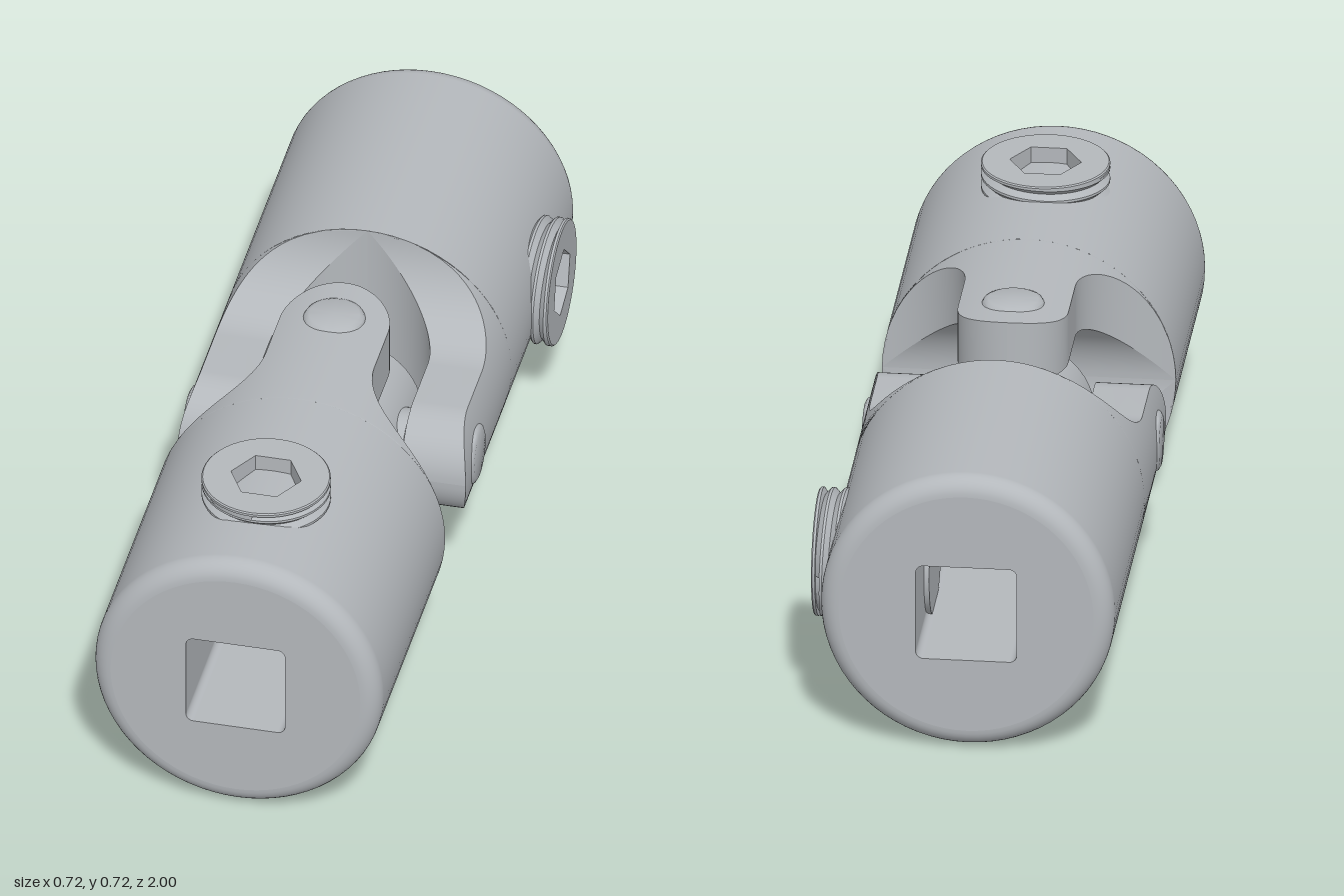
import * as THREE from 'three';
import { toCreasedNormals } from 'three/addons/utils/BufferGeometryUtils.js';

const R = 0.34;          // body radius
const NECK = 0.128;      // half width of a prong
const SLOT = 0.187;      // half height of the fork slot
const ROOT = 0.335;      // where the fork meets the body

const steel = new THREE.MeshStandardMaterial({ color: 0xb4b8bc });
steel.name = 'steel grey';

function part(name, geometry) {
  const mesh = new THREE.Mesh(geometry, steel);
  mesh.name = name;
  return mesh;
}

function lathe(points, segments = 64) {
  return new THREE.LatheGeometry(points.map(([x, y]) => new THREE.Vector2(x, y)), segments);
}

// Surface patch from a function of row and column
function patch(rows, cols, point, flip) {
  const pos = [], index = [];
  for (let i = 0; i <= rows; i++) for (let j = 0; j <= cols; j++) pos.push(...point(i, j / cols));
  for (let i = 0; i < rows; i++) for (let j = 0; j < cols; j++) {
    const a = i * (cols + 1) + j, b = a + 1, c = a + cols + 1, d = c + 1;
    if (flip) index.push(a, c, b, b, c, d);
    else index.push(a, b, c, b, d, c);
  }
  const g = new THREE.BufferGeometry();
  g.setAttribute('position', new THREE.Float32BufferAttribute(pos, 3));
  g.setIndex(index);
  g.computeVertexNormals();
  return g;
}

// One prong: cylinder skin, cut by the slot below and by the waisted sides
function makeProng() {
  const sections = [];
  for (let i = 0; i <= 20; i++) {
    const t = (1 - i / 20) * Math.PI / 2, c = i === 0 ? 0 : Math.cos(t);
    sections.push({ z: 0.145 + (ROOT - 0.145) * Math.sin(t), w: R - (R - NECK) * c, s: SLOT * c });
  }
  for (let i = 0; i <= 14; i++) {
    const t = i / 14 * Math.PI / 2;
    sections.push({ z: -NECK * Math.sin(t), w: NECK * Math.cos(t), s: SLOT });
  }
  const n = sections.length - 1;
  const prong = new THREE.Group();
  prong.name = 'prong';
  prong.add(part('prongOuterFace', patch(n, 32, (i, v) => {
    const { z, w } = sections[i], a = Math.asin(Math.min(1, w / R)) * (2 * v - 1);
    return [R * Math.sin(a), R * Math.cos(a), z];
  }, false)));
  prong.add(part('prongInnerFace', patch(n, 2, (i, v) => {
    const { z, w, s } = sections[i];
    return [w * (2 * v - 1), s, z];
  }, true)));
  for (const side of [-1, 1]) {
    prong.add(part('prongSide', patch(n, 2, (i, v) => {
      const { z, w, s } = sections[i], h = Math.sqrt(Math.max(0, R * R - w * w));
      return [side * w, s + (h - s) * v, z];
    }, side > 0)));
  }
  return prong;
}

// Rounded square outline for the bore
function roundedSquare(h, r) {
  const p = new THREE.Path();
  [[1, 1], [-1, 1], [-1, -1], [1, -1]].forEach(([x, y], k) => {
    p.absarc(x * (h - r), y * (h - r), r, k * Math.PI / 2, (k + 1) * Math.PI / 2, false);
  });
  p.closePath();
  return p;
}

function disc(radius, hole) {
  const s = new THREE.Shape();
  s.absarc(0, 0, radius, 0, Math.PI * 2, false);
  s.holes.push(hole);
  return s;
}

// Threaded set screw along y with a hexagon socket
function makeSetScrew(turn) {
  const screw = new THREE.Group();
  screw.name = 'setScrew';
  const pitch = 0.03, top = 0.368, profile = [];
  for (let y = 0.22; y < 0.385; y += pitch) {
    profile.push([0.136, y], [0.149, y + pitch * 0.4], [0.149, y + pitch * 0.6]);
  }
  const thread = lathe(profile, 48);
  const p = thread.attributes.position, rows = profile.length;
  for (let i = 0; i < p.count; i++) {
    const turnPart = Math.floor(i / rows) / 48;
    p.setY(i, Math.min(top, p.getY(i) - pitch * turnPart));
  }
  screw.add(part('screwThread', toCreasedNormals(thread, 0.5)));
  screw.add(part('screwRim', toCreasedNormals(
    lathe([[0.136, top], [0.149, top], [0.149, 0.374], [0.146, 0.377], [0.13, 0.377]], 48), 0.5)));

  const hex = new THREE.Path();
  hex.setFromPoints(Array.from({ length: 7 }, (_, k) => {
    const a = turn + k * Math.PI / 3;
    return new THREE.Vector2(0.083 * Math.cos(a), 0.083 * Math.sin(a));
  }));
  const socket = new THREE.ExtrudeGeometry(disc(0.135, hex), { depth: 0.127, bevelEnabled: false, curveSegments: 48 });
  socket.rotateX(-Math.PI / 2).translate(0, 0.25, 0);
  screw.add(part('screwSocket', socket));

  const shank = new THREE.CylinderGeometry(0.134, 0.134, 0.145, 48);
  shank.translate(0, 0.1775, 0);
  screw.add(part('screwShank', shank));
  screw.position.z = 0.69;
  return screw;
}

function makeYoke(name, socketTurn) {
  const yoke = new THREE.Group();
  yoke.name = name;

  // Barrel with a rounded outer rim
  const fillet = 0.045, profile = [[R, ROOT], [R, 0.6]];
  for (let i = 0; i <= 8; i++) {
    const a = i / 8 * Math.PI / 2;
    profile.push([R - fillet + fillet * Math.cos(a), 1 - fillet + fillet * Math.sin(a)]);
  }
  yoke.add(part('barrel', lathe(profile, 72).rotateX(Math.PI / 2)));

  // End face with the square bore
  const bore = new THREE.ExtrudeGeometry(disc(R - fillet, roundedSquare(0.117, 0.018)),
    { depth: 0.55, bevelEnabled: false, curveSegments: 36 });
  yoke.add(part('boredEnd', bore.translate(0, 0, 0.45)));
  const floor = new THREE.CircleGeometry(0.2, 32);
  yoke.add(part('boreFloor', floor.translate(0, 0, 0.451)));

  // Two prongs
  for (const angle of [0, Math.PI]) {
    const prong = makeProng();
    prong.rotation.z = angle;
    yoke.add(prong);
  }

  // Pivot pin through the prongs, with collars beside the centre block
  const half = [[0.085, 0.15], [0.085, 0.178], [0.072, 0.19], [0.072, 0.332], [0.068, 0.339], [0.058, 0.344], [0, 0.345]];
  const pin = [...half.map(([x, y]) => [x, -y]).reverse(), ...half];
  yoke.add(part('pivotPin', toCreasedNormals(lathe(pin, 40), 0.7)));

  yoke.add(makeSetScrew(socketTurn));
  return yoke;
}

export function createModel() {
  const model = new THREE.Group();
  model.name = 'universalJoint';

  const front = makeYoke('frontYoke', 0);
  const rear = makeYoke('rearYoke', -0.24);
  // Half turn about the diagonal swaps x with y and reverses z
  rear.quaternion.setFromAxisAngle(new THREE.Vector3(1, 1, 0).normalize(), Math.PI);
  model.add(front, rear);

  // Centre block joining the two pins
  const block = lathe([[0, -0.145], [0.168, -0.145], [0.175, -0.138], [0.175, 0.138], [0.168, 0.145], [0, 0.145]], 48);
  model.add(part('centreBlock', toCreasedNormals(block.rotateX(Math.PI / 2), 0.6)));

  model.position.set(-0.018, 0.345, 0);
  const root = new THREE.Group();
  root.name = 'joint';
  root.add(model);
  return root;
}
